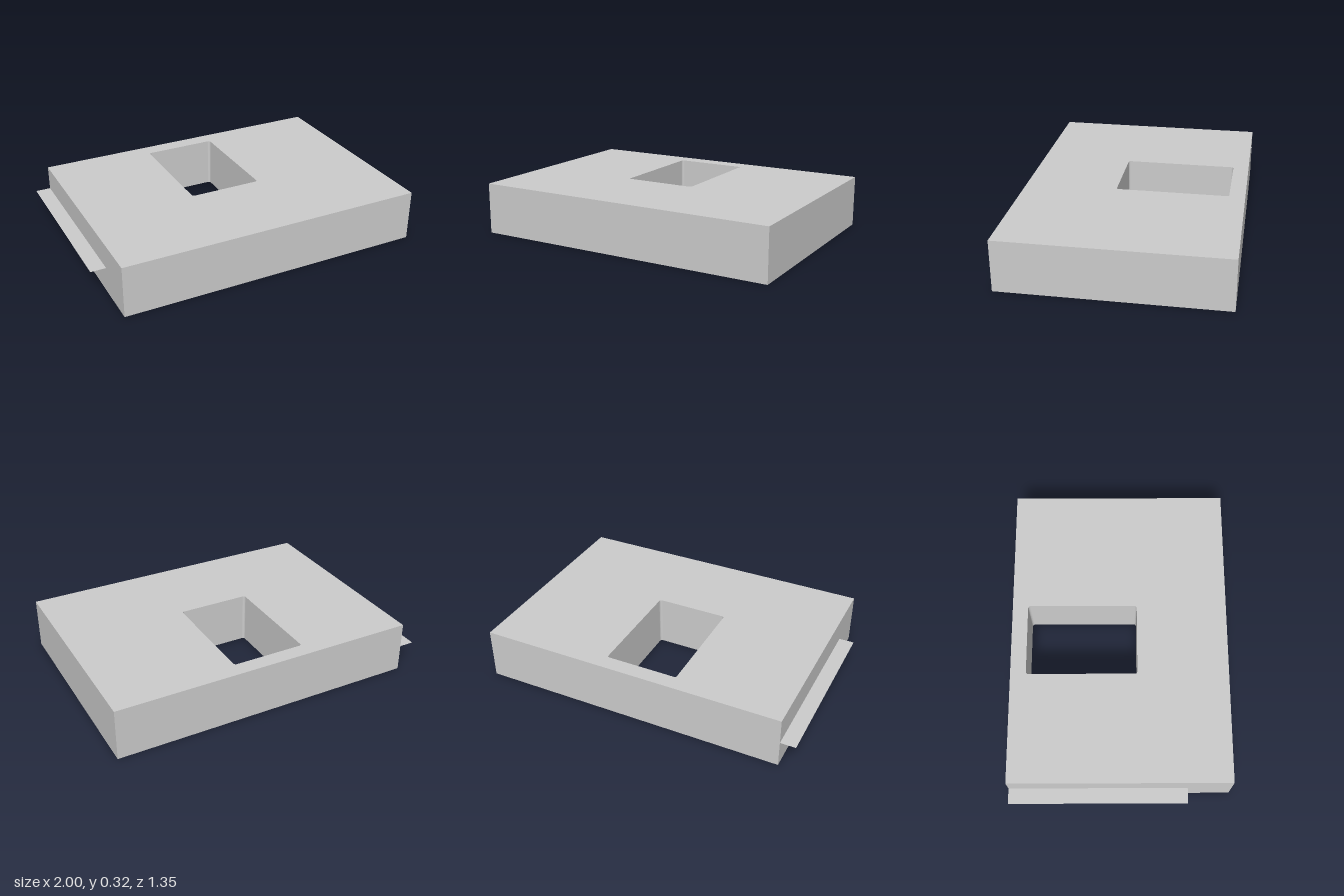
import * as THREE from 'three';

const grey = new THREE.MeshStandardMaterial({ color: 0xcccccc, flatShading: true });
const thin = new THREE.MeshStandardMaterial({ color: 0xcccccc, side: THREE.DoubleSide });

// Trace a rectangle with optional rounded corners
function rect(path, x0, y0, x1, y1, r = 0) {
  if (r === 0) {
    path.moveTo(x0, y0).lineTo(x1, y0).lineTo(x1, y1).lineTo(x0, y1).closePath();
    return path;
  }
  path.moveTo(x0 + r, y0);
  path.absarc(x1 - r, y0 + r, r, -Math.PI / 2, 0);
  path.absarc(x1 - r, y1 - r, r, 0, Math.PI / 2);
  path.absarc(x0 + r, y1 - r, r, Math.PI / 2, Math.PI);
  path.absarc(x0 + r, y0 + r, r, Math.PI, Math.PI * 1.5);
  path.closePath();
  return path;
}

export function createModel() {
  const group = new THREE.Group();
  group.name = 'slabWithOpening';

  // Thick slab with a rectangular through-hole; shape y becomes -z
  const outline = rect(new THREE.Shape(), -0.907, -0.675, 1, 0.675);
  outline.holes.push(rect(new THREE.Path(), -0.228, -0.11, 0.224, 0.578, 0.015));
  const slabGeometry = new THREE.ExtrudeGeometry(outline, {
    depth: 0.318, bevelEnabled: false, curveSegments: 4,
  });
  slabGeometry.rotateX(-Math.PI / 2);
  const slab = new THREE.Mesh(slabGeometry, grey);
  slab.name = 'slab';
  group.add(slab);

  // Paper-thin ledge on the -x side
  const ledgeGeometry = new THREE.PlaneGeometry(0.093, 1.085);
  ledgeGeometry.rotateX(-Math.PI / 2);
  const ledge = new THREE.Mesh(ledgeGeometry, thin);
  ledge.name = 'sideLedge';
  ledge.position.set(-0.9535, 0.165, -0.1325);
  group.add(ledge);

  return group;
}
